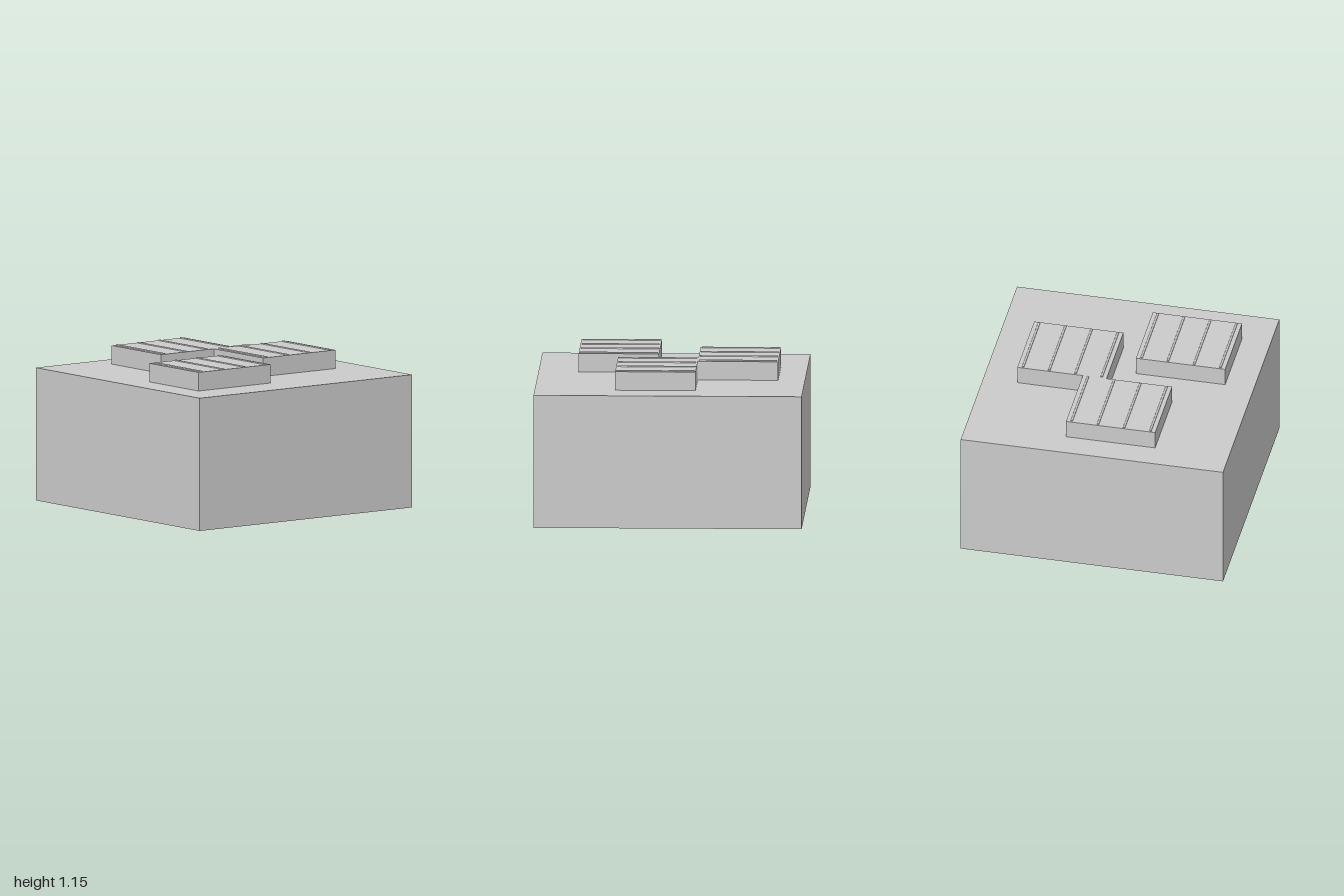
import * as THREE from 'three';

const material = new THREE.MeshStandardMaterial({ color: 0xcccccc });

function addMesh(parent, name, geometry, x, y, z) {
  const mesh = new THREE.Mesh(geometry, material);
  mesh.name = name;
  mesh.position.set(x, y, z);
  parent.add(mesh);
  return mesh;
}

// Low slab with four thin rods half sunk into its top, running front to back
function createPallet(x, z) {
  const pallet = new THREE.Group();
  pallet.name = 'ribbedSlab';
  pallet.position.set(x, 1, z);
  addMesh(pallet, 'slab', new THREE.BoxGeometry(0.68, 0.14, 0.6), 0, 0.07, 0);
  const rod = new THREE.CylinderGeometry(0.008, 0.008, 0.58, 12).rotateX(Math.PI / 2);
  for (const offset of [-0.3, -0.1, 0.1, 0.3]) {
    addMesh(pallet, 'rib', rod, offset, 0.14, 0);
  }
  return pallet;
}

export function createModel() {
  const model = new THREE.Group();
  model.name = 'blockWithRibbedSlabs';

  // Large base block
  addMesh(model, 'baseBlock', new THREE.BoxGeometry(2, 1, 2), 0, 0.5, 0);

  // Three identical slabs on top
  for (const [x, z] of [[-0.1, -0.5], [0.4, 0.1], [-0.44, 0.4]]) {
    model.add(createPallet(x, z));
  }
  return model;
}
